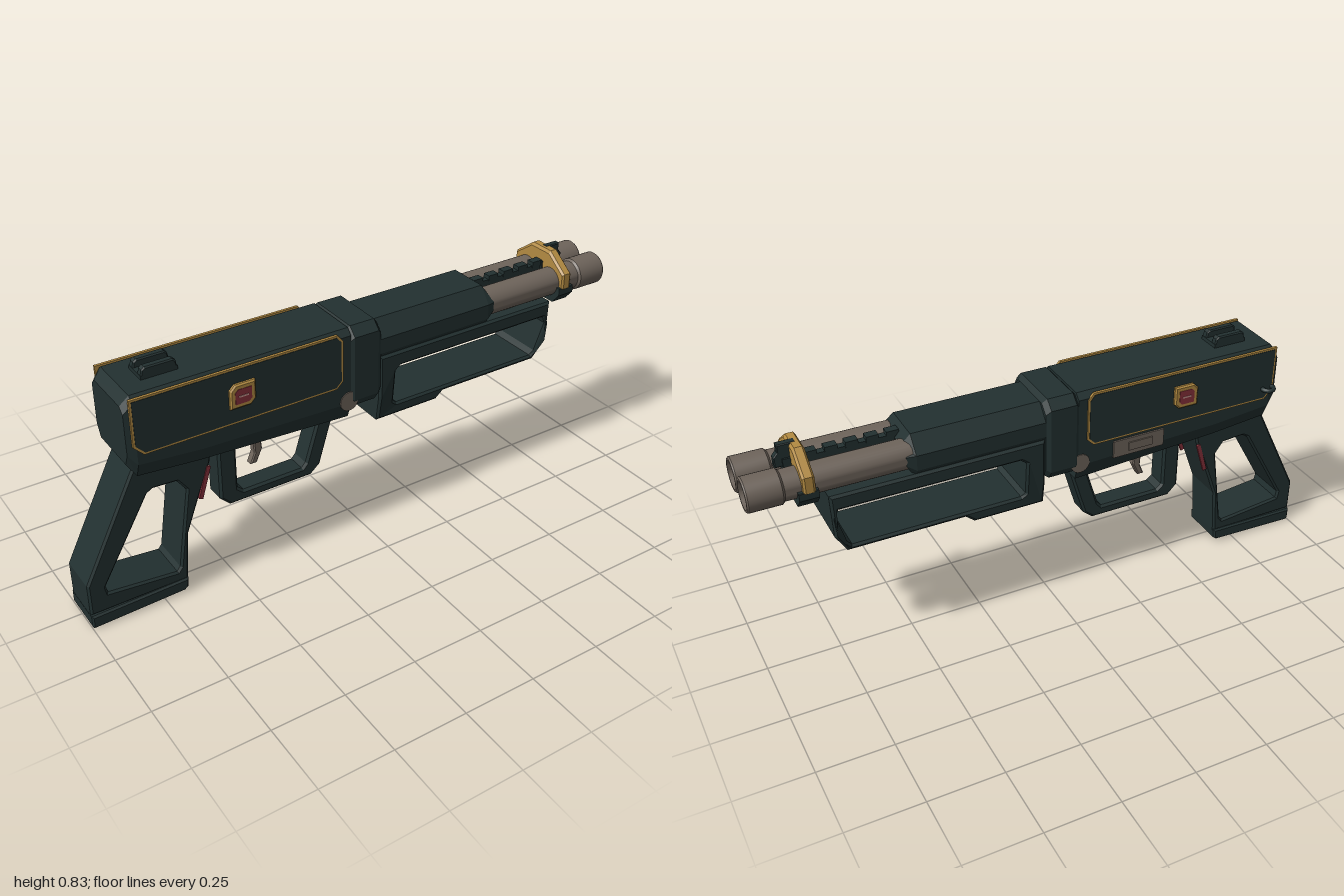
import * as THREE from 'three';
import { toCreasedNormals } from 'three/addons/utils/BufferGeometryUtils.js';

export function createModel() {
  const mat = (name, color) => {
    const m = new THREE.MeshStandardMaterial({ color });
    m.name = name;
    return m;
  };
  const dark = mat('dark green steel', 0x223030);
  const gold = mat('gold trim', 0xb38b42);
  const brown = mat('warm grey metal', 0x6e645b);
  const red = mat('red', 0x86303a);
  const pale = mat('pale pink', 0xd09a94);

  const root = new THREE.Group();
  root.name = 'toyBlaster';
  const body = new THREE.Group();
  body.name = 'blasterBody';
  body.position.z = 0.01;
  root.add(body);

  const add = (name, geo, material, x = 0, y = 0, z = 0) => {
    const m = new THREE.Mesh(geo, material);
    m.name = name;
    m.position.set(x, y, z);
    body.add(m);
    return m;
  };
  // box given by its ranges
  const block = (name, material, x0, x1, y0, y1, z0, z1) =>
    add(name, new THREE.BoxGeometry(x1 - x0, y1 - y0, z1 - z0), material,
      (x0 + x1) / 2, (y0 + y1) / 2, (z0 + z1) / 2);

  const vecs = pts => pts.map(p => new THREE.Vector2(p[0], p[1]));
  // side profile extruded across z, centred, with small bevels
  const slab = (pts, width, bevel = 0, hole = null) => {
    const shape = new THREE.Shape(vecs(pts));
    if (hole) shape.holes.push(new THREE.Path(vecs(hole)));
    const g = new THREE.ExtrudeGeometry(shape, {
      depth: width - 2 * bevel, bevelEnabled: bevel > 0, bevelSegments: 1,
      bevelSize: bevel, bevelThickness: bevel, bevelOffset: -bevel
    });
    return g.translate(0, 0, -(width - 2 * bevel) / 2);
  };

  // chamfered octagonal sections joined along x
  // section: [x, bottom, top, half width, top inset z, top inset y, bottom inset z, bottom inset y]
  const loft = sections => {
    const rings = sections.map(([x, b, t, h, tz, ty, bz, by]) => [
      [x, t, tz - h], [x, t, h - tz], [x, t - ty, h], [x, b + by, h],
      [x, b, h - bz], [x, b, bz - h], [x, b + by, -h], [x, t - ty, -h]]);
    const out = [];
    const tri = (...p) => p.forEach(v => out.push(...v));
    for (let s = 0; s < rings.length - 1; s++) {
      const a = rings[s], c = rings[s + 1];
      for (let i = 0; i < 8; i++) {
        const j = (i + 1) % 8;
        tri(a[i], a[j], c[j]);
        tri(a[i], c[j], c[i]);
      }
    }
    const first = rings[0], last = rings[rings.length - 1];
    for (let i = 1; i < 7; i++) {
      tri(last[0], last[i], last[i + 1]);
      tri(first[0], first[i + 1], first[i]);
    }
    const g = new THREE.BufferGeometry();
    g.setAttribute('position', new THREE.Float32BufferAttribute(out, 3));
    g.computeVertexNormals();
    return g;
  };

  // receiver and collar
  add('receiver', loft([
    [-0.838, 0.565, 0.765, 0.108, 0.02, 0.02, 0.02, 0.04],
    [-0.81, 0.52, 0.797, 0.118, 0.02, 0.02, 0.02, 0.05],
    [-0.6, 0.50, 0.797, 0.118, 0.02, 0.02, 0.02, 0.05],
    [-0.07, 0.472, 0.797, 0.118, 0.02, 0.02, 0.02, 0.06]]), dark);
  add('collar', loft([
    [-0.075, 0.52, 0.782, 0.115, 0.03, 0.03, 0.02, 0.03],
    [-0.06, 0.51, 0.798, 0.125, 0.03, 0.03, 0.02, 0.03],
    [0.03, 0.51, 0.798, 0.125, 0.03, 0.03, 0.02, 0.03],
    [0.045, 0.52, 0.782, 0.115, 0.03, 0.03, 0.02, 0.03]]), dark);

  // side panel outline, inset by d
  const panel = d => [
    [-0.822 + d, 0.635 + d / 2], [-0.79 + d / 2, 0.602 + d], [-0.125 - d / 2, 0.602 + d],
    [-0.102 - d, 0.625 + d / 2], [-0.102 - d, 0.77 - d / 2], [-0.122 - d / 2, 0.794 - d], [-0.822 + d, 0.794 - d]];
  // badge outline with cut corners, inset by d
  const badge = d => [
    [-0.508 + d, 0.66 + d], [-0.438 - d / 2, 0.66 + d], [-0.42 - d, 0.678 + d / 2],
    [-0.42 - d, 0.742 - d], [-0.49 + d / 2, 0.742 - d], [-0.508 + d, 0.724 - d / 2]];

  // details mirrored on both sides
  for (const s of [1, -1]) {
    add('panelTrim', slab(panel(0), 0.009), gold, 0, 0, s * 0.1175);
    add('sidePanel', slab(panel(0.007), 0.009), dark, 0, 0, s * 0.119);
    add('badgeFrame', slab(badge(0), 0.02, 0.005), gold, 0, 0, s * 0.125);
    add('badgeInset', slab(badge(0.016), 0.006), red, 0, 0, s * 0.1335);
    block('badgeBar', pale, -0.48, -0.447, 0.699, 0.704, s * 0.136 - 0.002, s * 0.136 + 0.002);
    const strip = add('gripStrip', new THREE.BoxGeometry(0.014, 0.115, 0.008), red, -0.584, 0.395, s * 0.074);
    strip.rotation.z = -0.3;
  }
  add('hingePin', toCreasedNormals(new THREE.CylinderGeometry(0.034, 0.034, 0.243, 20).rotateX(Math.PI / 2), 0.6),
    brown, -0.078, 0.542);

  // latch on the right-hand side and sling loop
  block('latchPlate', brown, -0.39, -0.2, 0.53, 0.592, -0.124, -0.1);
  block('latchButton', brown, -0.345, -0.255, 0.546, 0.576, -0.128, -0.12);
  add('slingLoop', new THREE.TorusGeometry(0.02, 0.008, 8, 20).rotateX(Math.PI / 2), dark, -0.797, 0.645, -0.128);

  // rear sight
  block('rearSightBase', dark, -0.745, -0.625, 0.79, 0.81, -0.04, 0.04);
  for (const s of [1, -1])
    add('rearSightPost', slab([[-0.745, 0.8], [-0.625, 0.8], [-0.63, 0.828], [-0.64, 0.835], [-0.73, 0.835], [-0.74, 0.828]],
      0.025, 0.004), dark, 0, 0, s * 0.0275);

  // grip with opening
  add('grip', slab(
    [[-0.815, 0.53], [-1, 0.165], [-1, 0.05], [-0.665, 0.05], [-0.652, 0.22], [-0.6, 0.36], [-0.56, 0.46], [-0.55, 0.51]],
    0.15, 0.007,
    [[-0.775, 0.425], [-0.755, 0.437], [-0.675, 0.432], [-0.645, 0.39], [-0.688, 0.105], [-0.7, 0.09], [-0.935, 0.115], [-0.94, 0.14]]), dark);
  add('gripBase', slab([[-0.995, 0], [-0.68, 0.01], [-0.668, 0.02], [-0.665, 0.055], [-1, 0.048], [-1, 0.01]],
    0.16, 0.006), dark);

  // trigger and guard
  add('triggerGuard', slab(
    [[-0.515, 0.47], [-0.515, 0.28], [-0.48, 0.245], [-0.175, 0.245], [-0.14, 0.275], [-0.075, 0.49], [-0.135, 0.49],
      [-0.195, 0.3], [-0.21, 0.283], [-0.43, 0.283], [-0.45, 0.3], [-0.45, 0.47]], 0.08, 0.008), dark);
  add('trigger', slab(
    [[-0.385, 0.52], [-0.375, 0.44], [-0.372, 0.39], [-0.388, 0.352], [-0.365, 0.352], [-0.343, 0.40], [-0.347, 0.44], [-0.35, 0.52]],
    0.03, 0.004), brown);

  // lower hand guard: open frame, narrowing towards the bottom
  const frame = slab(
    [[0.045, 0.66], [0.045, 0.51], [0.045, 0.415], [0.29, 0.415], [0.32, 0.44], [0.715, 0.44], [0.755, 0.51], [0.76, 0.66]],
    0.23, 0.008,
    [[0.11, 0.47], [0.125, 0.458], [0.7, 0.458], [0.715, 0.475], [0.745, 0.58], [0.735, 0.606], [0.13, 0.606], [0.11, 0.59]]);
  const p = frame.attributes.position;
  for (let i = 0; i < p.count; i++)
    p.setZ(i, p.getZ(i) * THREE.MathUtils.clamp(0.87 + (p.getY(i) - 0.46) * 2.6, 0.87, 1));
  frame.computeVertexNormals();
  add('lowerHandGuard', frame, dark);

  // upper hand guard
  add('upperHandGuard', loft([
    [0.035, 0.645, 0.782, 0.116, 0.045, 0.055, 0.02, 0.03],
    [0.48, 0.645, 0.782, 0.116, 0.045, 0.055, 0.02, 0.03],
    [0.51, 0.685, 0.745, 0.108, 0.045, 0.02, 0.02, 0.01]]), dark);

  // twin barrels with hollow muzzles
  const tube = toCreasedNormals(new THREE.LatheGeometry(vecs(
    [[0.049, 0.4], [0.049, 0.885], [0.056, 0.892], [0.056, 0.995], [0.052, 1],
      [0.045, 1], [0.045, 0.92], [0, 0.92]]), 32).rotateZ(-Math.PI / 2), 0.5);
  for (const s of [1, -1]) add('barrel', tube, brown, 0, 0.71, s * 0.06);

  // rib with teeth
  block('rib', dark, 0.48, 0.86, 0.70, 0.757, -0.012, 0.012);
  for (let i = 0; i < 5; i++)
    block('ribTooth', dark, 0.495 + i * 0.065, 0.535 + i * 0.065, 0.75, 0.771, -0.014, 0.014);

  // front band and sight
  add('bandTop', loft([
    [0.797, 0.70, 0.805, 0.12, 0.075, 0.055, 0.001, 0.001],
    [0.804, 0.70, 0.815, 0.125, 0.08, 0.06, 0.001, 0.001],
    [0.828, 0.70, 0.815, 0.125, 0.08, 0.06, 0.001, 0.001],
    [0.835, 0.70, 0.805, 0.12, 0.075, 0.055, 0.001, 0.001]]), gold);
  add('bandBottom', loft([
    [0.788, 0.643, 0.704, 0.122, 0.002, 0.002, 0.03, 0.035],
    [0.85, 0.643, 0.704, 0.122, 0.002, 0.002, 0.03, 0.035]]), dark);
  block('sightMount', dark, 0.79, 0.86, 0.69, 0.768, -0.018, 0.018);
  add('frontSight', slab([[0.815, 0.74], [0.885, 0.74], [0.885, 0.775], [0.872, 0.79], [0.872, 0.816], [0.815, 0.816]],
    0.024, 0.003), dark);

  return root;
}
